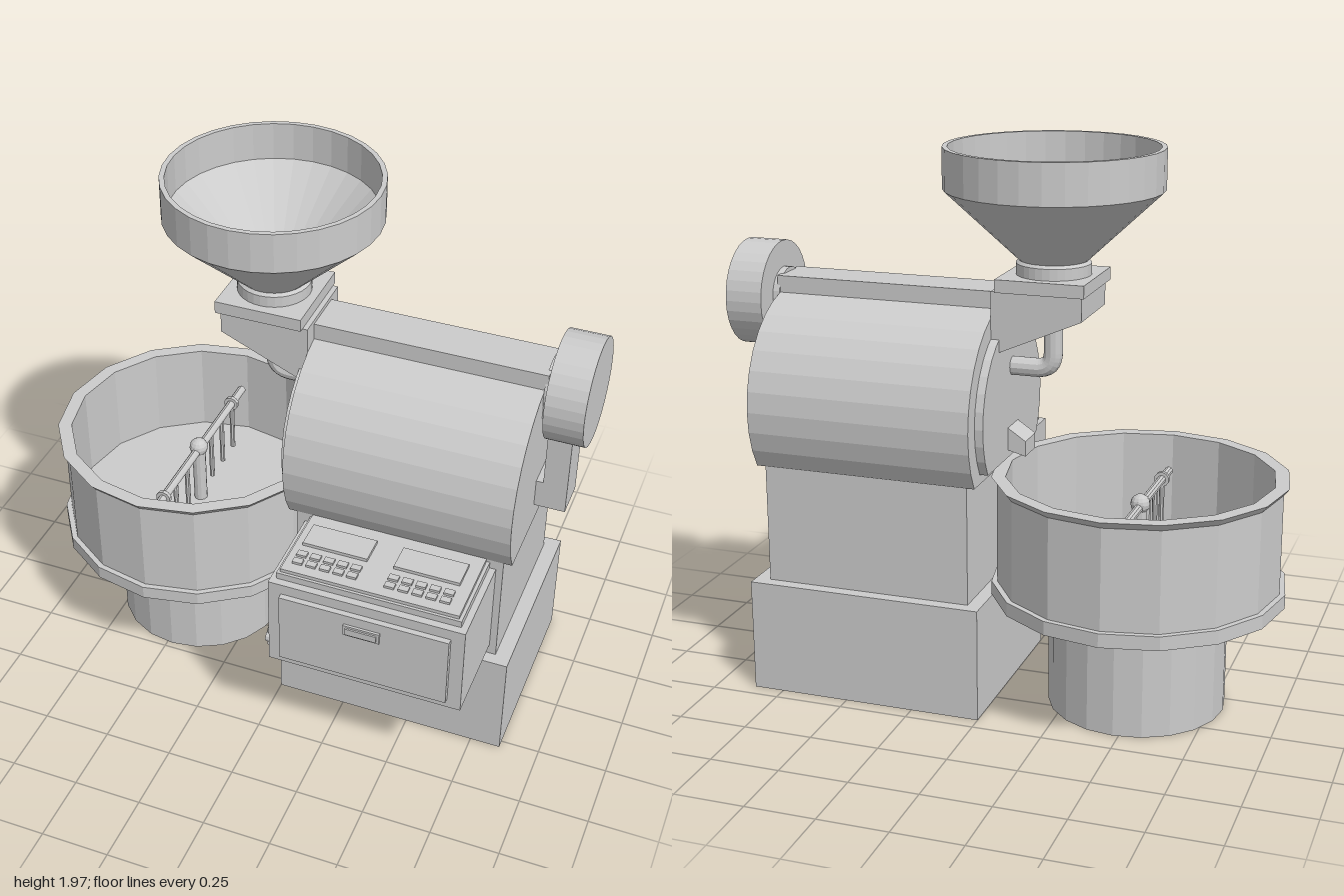
import * as THREE from 'three';

const AXIS_Z = -0.085;

export function createModel() {
  const root = new THREE.Group();
  root.name = 'drumRoaster';
  const mat = new THREE.MeshStandardMaterial({ color: 0xcccccc, flatShading: true });

  const add = (name, geo, x = 0, y = 0, z = 0) => {
    const mesh = new THREE.Mesh(geo, mat);
    mesh.name = name;
    mesh.position.set(x, y, z);
    root.add(mesh);
    return mesh;
  };
  // Box given by its limits on each axis
  const box = (name, x0, x1, y0, y1, z0, z1) => add(name,
    new THREE.BoxGeometry(x1 - x0, y1 - y0, z1 - z0),
    (x0 + x1) / 2, (y0 + y1) / 2, (z0 + z1) / 2);
  const lathe = (name, pts, sides, x, z) => add(name,
    new THREE.LatheGeometry(pts.map(p => new THREE.Vector2(...p)), sides), x, 0, z);
  // Cylinder lying along x
  const cylX = (name, r, x0, x1, y, z, sides) => add(name,
    new THREE.CylinderGeometry(r, r, x1 - x0, sides).rotateZ(Math.PI / 2), (x0 + x1) / 2, y, z);
  // Side profile in x-y, extruded across z about the main axis
  const profile = (name, pts, width) => add(name,
    new THREE.ExtrudeGeometry(new THREE.Shape(pts.map(p => new THREE.Vector2(...p))),
      { depth: width, bevelEnabled: false }), 0, 0, AXIS_Z - width / 2);

  // Base and body
  box('base', 0, 0.86, 0, 0.41, -0.445, 0.28);
  box('body', 0.05, 0.805, 0.41, 0.845, -0.4, 0.235);

  // Drum: circle with a flat cut at the bottom, extruded along x
  const drumPart = (name, r, x0, x1) => {
    const a = Math.asin(0.205 / 0.38);
    const shape = new THREE.Shape();
    shape.absarc(0, 0, r, -a, Math.PI + a, false);
    const geo = new THREE.ExtrudeGeometry(shape, { depth: x1 - x0, bevelEnabled: false, curveSegments: 11 });
    add(name, geo.rotateY(Math.PI / 2), x0, 1.045, AXIS_Z);
  };
  drumPart('drum', 0.38, 0.02, 0.835);
  drumPart('drumDoor', 0.315, -0.01, 0.02);

  // Outlet spout on the drum door
  profile('outletSpout', [[-0.075, 0.885], [0, 0.905], [0, 0.99], [-0.075, 0.94]], 0.11);

  // Top duct, fan and exhaust leg
  box('topDuct', 0, 0.845, 1.3, 1.475, AXIS_Z - 0.083, AXIS_Z + 0.083);
  cylX('fanHub', 0.095, 0.835, 0.865, 1.395, AXIS_Z, 24);
  cylX('fanHousing', 0.19, 0.86, 0.997, 1.395, AXIS_Z, 32);
  box('exhaustLeg', 0.86, 0.945, 0.92, 1.3, -0.15, -0.01);
  box('exhaustFoot', 0.83, 0.862, 0.92, 1.025, -0.15, -0.01);

  // Feed chute, its cap plate and the bent pipe below
  profile('feedChute', [[-0.3, 1.405], [0.02, 1.265], [0.02, 1.49], [-0.3, 1.49]], 0.29);
  box('chutePlate', -0.313, 0.002, 1.49, 1.535, AXIS_Z - 0.163, AXIS_Z + 0.163);
  const bend = new THREE.CurvePath();
  const v = (x, y) => new THREE.Vector3(x, y, AXIS_Z);
  bend.add(new THREE.LineCurve3(v(0.02, 1.197), v(-0.1, 1.197)));
  bend.add(new THREE.QuadraticBezierCurve3(v(-0.1, 1.197), v(-0.158, 1.197), v(-0.158, 1.255)));
  bend.add(new THREE.LineCurve3(v(-0.158, 1.255), v(-0.158, 1.4)));
  add('bentPipe', new THREE.TubeGeometry(bend, 30, 0.034, 12));

  // Hopper, hollow with a small outlet disc
  lathe('hopper', [[0, 1.53], [0.13, 1.53], [0.13, 1.575], [0.12, 1.585], [0.378, 1.828], [0.378, 1.97],
    [0.36, 1.97], [0.36, 1.835], [0.073, 1.565], [0, 1.565]], 32, -0.158, AXIS_Z);

  // Cooling tray and pedestal
  const tx = -0.48, tz = -0.09;
  lathe('coolingTray', [[0, 0.415], [0.52, 0.415], [0.52, 0.465], [0.5, 0.465], [0.5, 0.825],
    [0.52, 0.85], [0.47, 0.85], [0.47, 0.5], [0, 0.5]], 16, tx, tz);
  add('pedestal', new THREE.CylinderGeometry(0.317, 0.317, 0.415, 20), tx, 0.2075, tz);

  // Stirrer: shaft, hub, arm and tines
  add('stirrerShaft', new THREE.CylinderGeometry(0.025, 0.025, 0.25, 12), tx, 0.615, tz);
  add('stirrerHub', new THREE.SphereGeometry(0.035, 12, 8), tx, 0.74, tz);
  add('stirrerArm', new THREE.CylinderGeometry(0.016, 0.016, 0.82, 10).rotateX(Math.PI / 2), tx, 0.73, tz);
  for (const side of [-1, 1]) {
    for (const d of [0.11, 0.21, 0.31])
      add('stirrerTine', new THREE.CylinderGeometry(0.01, 0.01, 0.21, 8), tx, 0.625, tz + side * d);
    add('stirrerCollar', new THREE.CylinderGeometry(0.028, 0.028, 0.015, 10).rotateX(Math.PI / 2),
      tx, 0.73, tz + side * 0.31);
  }

  // Control box with door, handle and side knob
  box('controlBox', 0.08, 0.78, 0.45, 0.805, 0.235, 0.577);
  box('controlTop', 0.1, 0.757, 0.805, 0.83, 0.235, 0.55);
  box('controlPanel', 0.11, 0.745, 0.83, 0.843, 0.235, 0.54);
  box('boxDoor', 0.127, 0.732, 0.488, 0.765, 0.577, 0.598);
  box('doorHandle', 0.362, 0.492, 0.685, 0.727, 0.598, 0.607);
  box('doorHandleGrip', 0.372, 0.482, 0.693, 0.719, 0.607, 0.613);
  cylX('sideKnob', 0.022, 0.055, 0.08, 0.505, 0.53, 12);
  box('knobLever', 0.058, 0.068, 0.467, 0.543, 0.523, 0.537);

  // Displays and button rows
  for (const x0 of [0.137, 0.467]) {
    box('display', x0, x0 + 0.235, 0.843, 0.855, 0.297, 0.4);
    for (let i = 0; i < 5; i++)
      for (const z of [0.435, 0.475])
        box('button', x0 + i * 0.049, x0 + i * 0.049 + 0.035, 0.843, 0.852, z, z + 0.025);
  }
  return root;
}
